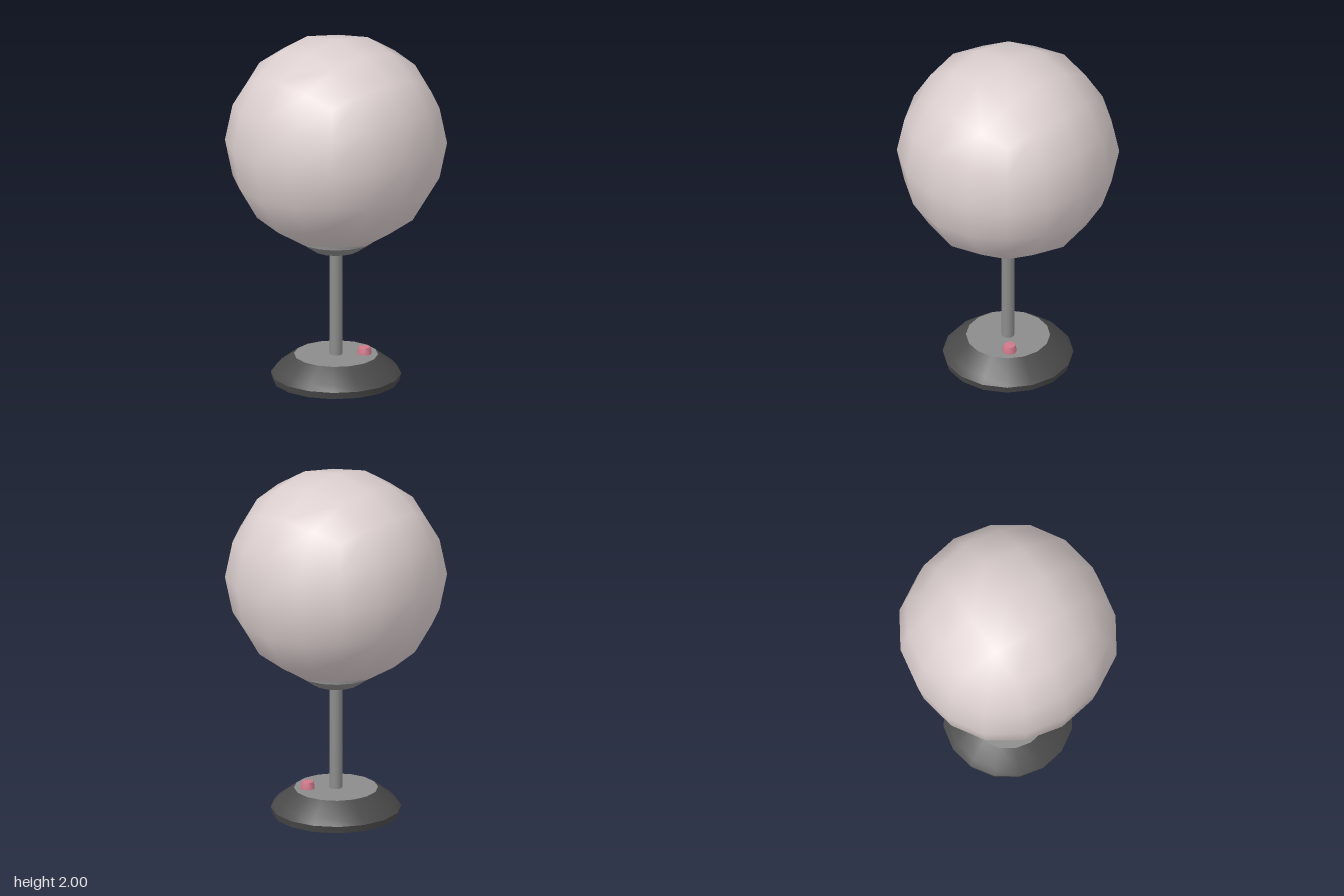
import * as THREE from 'three';
import { mergeVertices, toCreasedNormals } from 'three/addons/utils/BufferGeometryUtils.js';

const paint = (name, color) => {
  const m = new THREE.MeshStandardMaterial({ color });
  m.name = name;
  return m;
};

// Rounds a 4x4x4 box into a quad ball: sorted cube coordinates map to ball coordinates
function quadBall() {
  const rule = {
    '1,0,0': [0.6, 0, 0], '1,0.5,0': [0.56, 0.239, 0], '1,0.5,0.5': [0.522, 0.223, 0.223],
    '1,1,0': [0.439, 0.439, 0], '1,1,0.5': [0.409, 0.409, 0.206], '1,1,1': [0.348, 0.348, 0.348],
  };
  let g = new THREE.BoxGeometry(2, 2, 2, 4, 4, 4);
  g.deleteAttribute('normal');
  g.deleteAttribute('uv');
  g.clearGroups();
  const pos = g.attributes.position;
  for (let i = 0; i < pos.count; i++) {
    const p = [pos.getX(i), pos.getY(i), pos.getZ(i)];
    const sorted = p.map((v) => Math.round(Math.abs(v) * 2) / 2).sort((a, b) => b - a);
    const out = rule[sorted.join(',')];
    const q = p.map((v) => Math.sign(v) * out[sorted.indexOf(Math.round(Math.abs(v) * 2) / 2)]);
    pos.setXYZ(i, ...q);
  }
  g = mergeVertices(g, 1e-3);
  g.computeVertexNormals();
  return g;
}

// Turned part with sharp edges kept
function turned(points, sides, crease = 0.7) {
  const g = new THREE.LatheGeometry(points.map(([r, y]) => new THREE.Vector2(r, y)), sides);
  return toCreasedNormals(g, crease);
}

export function createModel() {
  const globeMat = paint('warm white', 0xdccfcf);
  const metalMat = paint('grey metal', 0x8c8c8c);
  const baseMat = paint('dark grey', 0x4a4a4a);
  const buttonMat = paint('pink', 0xd0788a);

  const model = new THREE.Group();
  model.name = 'globeLamp';
  const add = (name, geometry, material, x = 0, y = 0, z = 0) => {
    const mesh = new THREE.Mesh(geometry, material);
    mesh.name = name;
    mesh.position.set(x, y, z);
    model.add(mesh);
  };

  // Shade and the holder beneath it
  add('globe', quadBall(), globeMat, 0, 1.4, 0);
  add('globeHolder', turned([[0, 0.77], [0.135, 0.77], [0.22, 0.83], [0.22, 0.88], [0, 0.88]], 16), metalMat);

  // Stem
  add('stem', new THREE.CylinderGeometry(0.035, 0.035, 0.64, 16), metalMat, 0, 0.46, 0);

  // Weighted foot with its top plate
  add('base', turned([[0, 0], [0.355, 0], [0.365, 0.04], [0.335, 0.075], [0.235, 0.15]], 16), baseMat);
  const plate = new THREE.CircleGeometry(0.235, 16).rotateX(-Math.PI / 2);
  add('basePlate', plate, metalMat, 0, 0.15, 0);

  // Switch
  add('button', turned([[0.04, 0], [0.039, 0.018], [0.032, 0.04], [0, 0.042]], 10), buttonMat, 0.105, 0.15, -0.12);
  return model;
}
